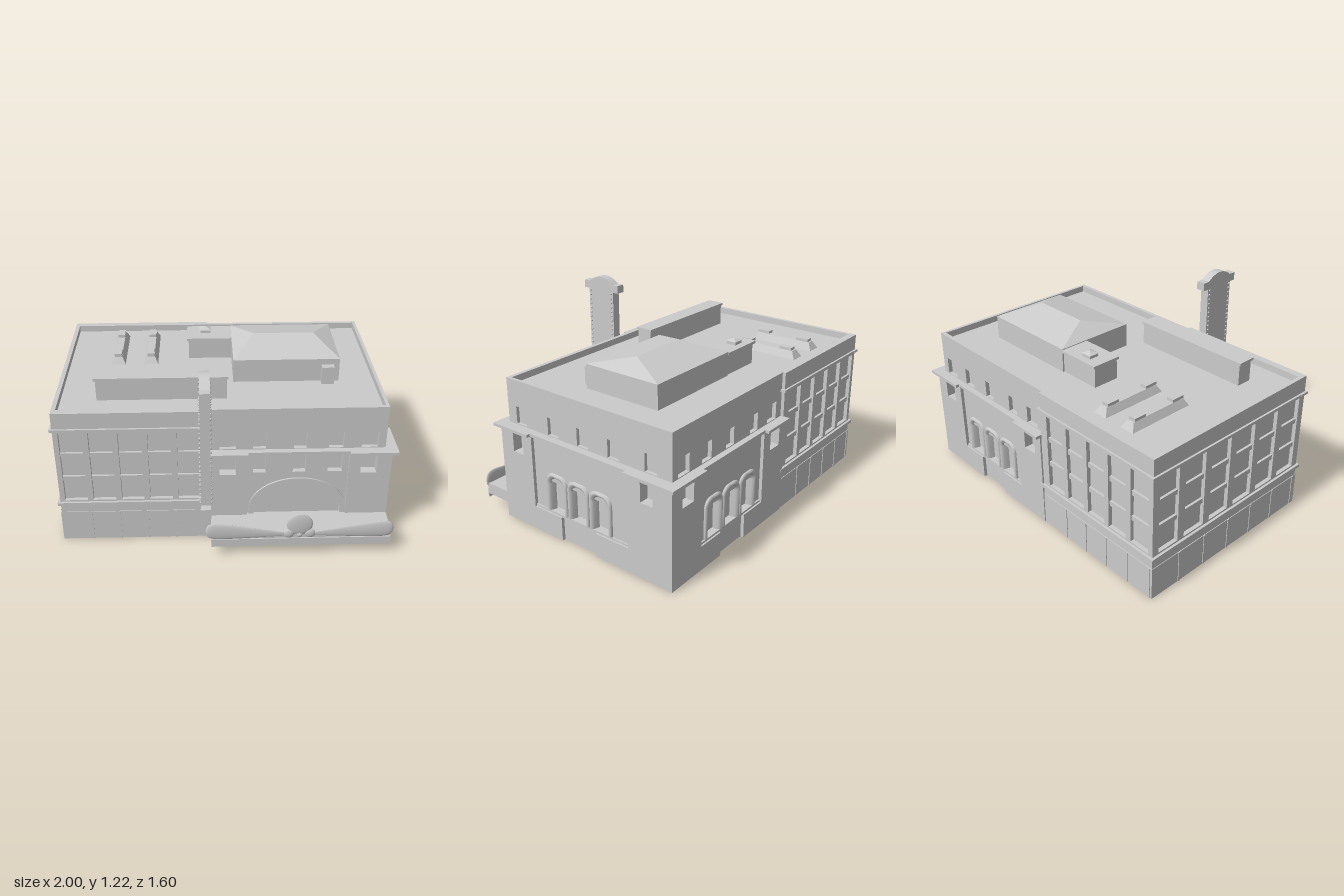
import * as THREE from 'three';

const mat = new THREE.MeshStandardMaterial({ color: 0xcccccc, side: THREE.DoubleSide });

// Each side: turn about y, and distance of the inner core face from the origin.
// Local u runs to the right as seen by someone facing that side.
const SIDES = {
  front: { turn: 0, core: 0.42 },
  right: { turn: Math.PI / 2, core: 0.91 },
  back: { turn: Math.PI, core: 0.71 },
  left: { turn: -Math.PI / 2, core: 0.955 },
};

function rectPath(u0, u1, v0, v1, Type = THREE.Path) {
  const p = new Type();
  p.moveTo(u0, v0); p.lineTo(u1, v0); p.lineTo(u1, v1); p.lineTo(u0, v1); p.closePath();
  return p;
}

// Upright opening with an elliptical head
function archPath(cx, rx, v0, spring, top, Type = THREE.Path) {
  const p = new Type();
  p.moveTo(cx - rx, v0); p.lineTo(cx + rx, v0); p.lineTo(cx + rx, spring);
  p.absellipse(cx, spring, rx, top - spring, 0, Math.PI, false, 0);
  p.closePath();
  return p;
}

// Outline of a round-shouldered window, drawn in by a given inset
function windowOutline(c, inset) {
  const w = 0.081 - inset, top = 0.4 - inset, r = Math.max(0.055 - inset * 0.5, 0.02);
  const pts = [[c + w, 0.16]];
  for (let i = 0; i <= 8; i++) {
    const a = (i / 8) * Math.PI / 2;
    pts.push([c + w - r + r * Math.cos(a), top - r + r * Math.sin(a)]);
  }
  for (let i = 0; i <= 8; i++) {
    const a = Math.PI / 2 + (i / 8) * Math.PI / 2;
    pts.push([c - w + r + r * Math.cos(a), top - r + r * Math.sin(a)]);
  }
  pts.push([c - w, 0.16]);
  return pts;
}

export function createModel() {
  const root = new THREE.Group();
  root.name = 'cornerBuilding';

  const add = (name, geo, parent = root) => {
    const m = new THREE.Mesh(geo, mat);
    m.name = name;
    parent.add(m);
    return m;
  };
  const box = (name, x0, x1, y0, y1, z0, z1, parent) => {
    const g = new THREE.BoxGeometry(x1 - x0, y1 - y0, z1 - z0);
    g.translate((x0 + x1) / 2, (y0 + y1) / 2, (z0 + z1) / 2);
    return add(name, g, parent);
  };
  // Box whose top is drawn in, for hipped roofs and skylights
  const hip = (name, x0, x1, y0, y1, z0, z1, inX, inZ) => {
    const m = box(name, x0, x1, y0, y1, z0, z1), p = m.geometry.attributes.position;
    for (let i = 0; i < p.count; i++) {
      if (p.getY(i) < (y0 + y1) / 2) continue;
      p.setX(i, p.getX(i) + (p.getX(i) < (x0 + x1) / 2 ? inX : -inX));
      p.setZ(i, p.getZ(i) + (p.getZ(i) < (z0 + z1) / 2 ? inZ : -inZ));
    }
    m.geometry.computeVertexNormals();
  };

  const faces = {};
  for (const s in SIDES) {
    faces[s] = new THREE.Group();
    faces[s].name = s + 'Facade';
    faces[s].rotation.y = SIDES[s].turn;
    root.add(faces[s]);
  }
  const slab = (s, name, u0, u1, v0, v1, d) =>
    box(name, u0, u1, v0, v1, SIDES[s].core - 0.005, d, faces[s]);
  const wall = (s, name, u0, u1, v0, v1, d, holes = []) => {
    const shape = rectPath(u0, u1, v0, v1, THREE.Shape);
    shape.holes.push(...holes);
    const t = d - SIDES[s].core;
    const g = new THREE.ExtrudeGeometry(shape, { depth: t, bevelEnabled: false, curveSegments: 24 });
    g.translate(0, 0, SIDES[s].core);
    return add(name, g, faces[s]);
  };

  // Solid core carrying the flat roof
  box('coreAndRoof', -0.955, 0.91, 0, 0.84, -0.71, 0.42);

  // Office wing: base, ledges and tall window bays
  const wing = (s, u0, u1, d, bays) => {
    wall(s, 'wingWall', u0, u1, 0, 0.88, d, bays.map(([a, b]) => rectPath(a, b, 0.285, 0.75)));
    for (const [a, b] of bays) {
      slab(s, 'windowPane', a, b, 0.28, 0.75, d - 0.024);
      for (const v of [0.42, 0.58]) slab(s, 'windowRail', a, b, v, v + 0.03, d - 0.01);
      slab(s, 'baseRib', b + 0.01, b + 0.02, 0, 0.2, d + 0.008);
    }
    slab(s, 'wingBase', u0 - 0.004, u1, 0, 0.2, d + 0.004);
    slab(s, 'baseLedge', u0 - 0.015, u1, 0.255, 0.275, d + 0.015);
    slab(s, 'topLedge', u0 - 0.015, u1, 0.765, 0.78, d + 0.012);
  };
  const bays = [0, 1, 2, 3, 4].map(i => [-0.95 + i * 0.168, -0.817 + i * 0.168]);
  wing('front', -0.98, -0.09, 0.465, bays);
  wing('back', 0.09, 0.98, 0.755, bays.map(([a, b]) => [-b, -a]));
  wing('left', -0.755, 0.465, 0.98,
    [0, 1, 2, 3, 4, 5].map(i => [-0.72 + i * 0.198, -0.57 + i * 0.198]));

  // Main block: end piers, centre wall, upper storey and stepped cornice
  const block = (s, ends, d, upper, upperD, topWins, pierWins, midHoles) => {
    const [a, b, c, e] = ends;
    const small = ([p, q]) => rectPath(p, q, 0.455, 0.575);
    wall(s, 'centreWall', b, c, 0, 0.6, d - 0.02, midHoles);
    for (const [p, q] of [[a, b], [c, e]]) {
      wall(s, 'endPier', p, q, 0, 0.6, d, pierWins.filter(w => w[0] > p && w[1] < q).map(small));
      slab(s, 'pierCornice', p === a ? a - (s === 'front' ? 0.005 : 0.03) : p,
        q === e ? e + (s === 'back' ? 0.005 : 0.03) : q, 0.592, 0.61, d + 0.03);
    }
    slab(s, 'centreCornice', b, c, 0.592, 0.61, d + 0.006);
    wall(s, 'upperWall', upper[0], upper[1], 0.6, 0.88, upperD,
      topWins.map(([p, q]) => rectPath(p, q, 0.615, 0.72)));
  };
  const cols = [[-0.035, 0.06], [0.16, 0.235], [0.395, 0.47], [0.6, 0.685], [0.79, 0.885]];
  const flip = cols.map(([a, b]) => [-b, -a]);
  const sideCols = [-0.34, -0.09, 0.13, 0.35, 0.6].map(u => [u - 0.04, u + 0.04]);
  const group3 = c => [-0.163, 0, 0.163].map(k => c + k);
  const rightC = group3(0.105), backC = group3(-0.43);
  const openings = cs => [rectPath(cs[0] - 0.081, cs[2] + 0.081, 0.16, 0.345)];

  block('front', [-0.09, 0.13, 0.72, 0.97], 0.475, [-0.09, 0.93], 0.445, cols, cols,
    [archPath(0.43, 0.26, 0.01, 0.2, 0.39),
      ...cols.slice(1, 4).map(([p, q]) => rectPath(p, q, 0.455, 0.575))]);
  block('right', [-0.475, -0.23, 0.47, 0.765], 0.97, [-0.445, 0.735], 0.93, sideCols,
    [sideCols[0], sideCols[4]], openings(rightC));
  block('back', [-0.97, -0.72, -0.13, 0.09], 0.765, [-0.93, 0.09], 0.735, flip,
    [flip[4], flip[0]], openings(backC));

  // Plinths beside the steps, below the round-shouldered windows
  for (const [s, list, d] of [
    ['right', [[-0.23, -0.02], [0.24, 0.47]], 0.97],
    ['back', [[-0.72, -0.54], [-0.31, -0.13]], 0.765]]) {
    for (const [a, b] of list) slab(s, 'plinth', a, b, 0, 0.148, d);
    slab(s, 'sill', list[0][0], list[1][1], 0.145, 0.16, d - 0.01);
  }

  // Moulded window surrounds, lofted from the outer edge in to the glass
  const rings = [[0, -0.02], [0, 0.006], [0.008, 0.015], [0.02, 0.013], [0.03, 0], [0.038, -0.03]];
  const surround = (s, c, d) => {
    const pos = [], idx = [];
    rings.forEach(([inset, z]) => windowOutline(c, inset).forEach(([u, v]) => pos.push(u, v, d + z)));
    const n = pos.length / 3 / rings.length;
    for (let r = 0; r < rings.length - 1; r++) {
      for (let i = 0; i < n - 1; i++) {
        const a = r * n + i, b = a + n;
        idx.push(a, a + 1, b, a + 1, b + 1, b);
      }
    }
    const g = new THREE.BufferGeometry();
    g.setAttribute('position', new THREE.Float32BufferAttribute(pos, 3));
    g.setIndex(idx);
    g.computeVertexNormals();
    add('windowSurround', g, faces[s]);
  };
  rightC.forEach(c => surround('right', c, 0.95));
  backC.forEach(c => surround('back', c, 0.745));

  // Entrance arch moulding
  const arch = archPath(0.43, 0.29, 0.01, 0.2, 0.415, THREE.Shape);
  arch.holes.push(archPath(0.43, 0.26, 0.01, 0.2, 0.39));
  const archGeo = new THREE.ExtrudeGeometry(arch, { depth: 0.02, bevelEnabled: false, curveSegments: 24 });
  add('entranceArch', archGeo.translate(0, 0, 0.446));

  // Canopy with propeller ornament
  box('canopy', -0.09, 0.97, 0.09, 0.16, 0.45, 0.645);
  box('canopyFascia', -0.09, 0.97, 0.065, 0.118, 0.643, 0.652);
  const profile = [[0, 0], [0.012, 0.004], [0.016, 0.03], [0.03, 0.14], [0.046, 0.27], [0.056, 0.38],
    [0.052, 0.43], [0.035, 0.455], [0, 0.465]].map(p => new THREE.Vector2(...p));
  const blade = new THREE.LatheGeometry(new THREE.SplineCurve(profile).getPoints(32), 24);
  for (const side of [-1, 1]) {
    const m = add('propellerBlade', blade);
    m.position.set(0.428 + side * 0.088, 0.148, 0.648);
    m.rotation.z = -side * (Math.PI / 2 - 0.07);
    m.scale.z = 0.2;
  }
  for (const [x, y, r] of [[0.428, 0.215, 0.076], [0.365, 0.15, 0.031], [0.491, 0.15, 0.031], [0.428, 0.14, 0.018]]) {
    const m = add('propellerHub', new THREE.SphereGeometry(r, 24, 16));
    m.position.set(x, y, 0.645);
    m.scale.z = 0.012 / r;
  }

  // Tall blade sign with arched cap and rows of bulbs
  const sign = new THREE.Shape();
  sign.moveTo(-0.145, 0.39); sign.lineTo(0.145, 0.39); sign.lineTo(0.145, 0.45); sign.lineTo(0.104, 0.45);
  sign.lineTo(0.104, 1.13); sign.lineTo(0.145, 1.13); sign.lineTo(0.145, 1.18); sign.lineTo(0.1, 1.18);
  sign.quadraticCurveTo(0, 1.26, -0.1, 1.18);
  sign.lineTo(-0.145, 1.18); sign.lineTo(-0.145, 1.13); sign.lineTo(-0.104, 1.13);
  sign.lineTo(-0.104, 0.45); sign.lineTo(-0.145, 0.45); sign.closePath();
  const signGeo = new THREE.ExtrudeGeometry(sign, { depth: 0.056, bevelEnabled: false, curveSegments: 16 });
  signGeo.rotateY(-Math.PI / 2).translate(-0.09, 0, 0.655);
  add('bladeSign', signGeo);
  const bulb = new THREE.SphereGeometry(0.007, 8, 6);
  for (const x of [-0.147, -0.089]) for (const z of [0.565, 0.745]) {
    for (let i = 0; i < 23; i++) add('signBulb', bulb).position.set(x, 0.46 + i * 0.03, z);
  }

  // Rooftop: hipped penthouse, annex, vents, plant box and skylights
  box('penthouse', 0.06, 0.7, 0.83, 0.985, -0.46, 0.045);
  hip('penthouseRoof', 0.06, 0.7, 0.985, 1.045, -0.46, 0.045, 0.135, 0.2525);
  box('penthouseVent', 0.59, 0.665, 0.83, 0.95, 0.04, 0.09);
  box('annex', -0.21, 0.07, 0.83, 0.965, -0.45, -0.285);
  box('annexCap', -0.22, 0.06, 0.965, 0.98, -0.465, -0.275);
  box('annexVent', -0.135, -0.07, 0.97, 1.0, -0.42, -0.36);
  hip('annexVentCap', -0.14, -0.065, 1.0, 1.015, -0.425, -0.355, 0.0375, 0.035);
  box('plantBox', -0.745, 0.015, 0.83, 0.97, 0.15, 0.248);
  box('plantBoxCap', -0.755, 0.022, 0.97, 0.985, 0.143, 0.256);
  for (const x of [-0.655, -0.45]) {
    hip('skylight', x - 0.048, x + 0.048, 0.835, 0.885, -0.63, -0.205, 0.025, 0.03);
    for (const z of [-0.55, -0.27]) box('skylightHatch', x - 0.022, x + 0.022, 0.88, 0.902, z - 0.04, z + 0.04);
  }
  return root;
}
